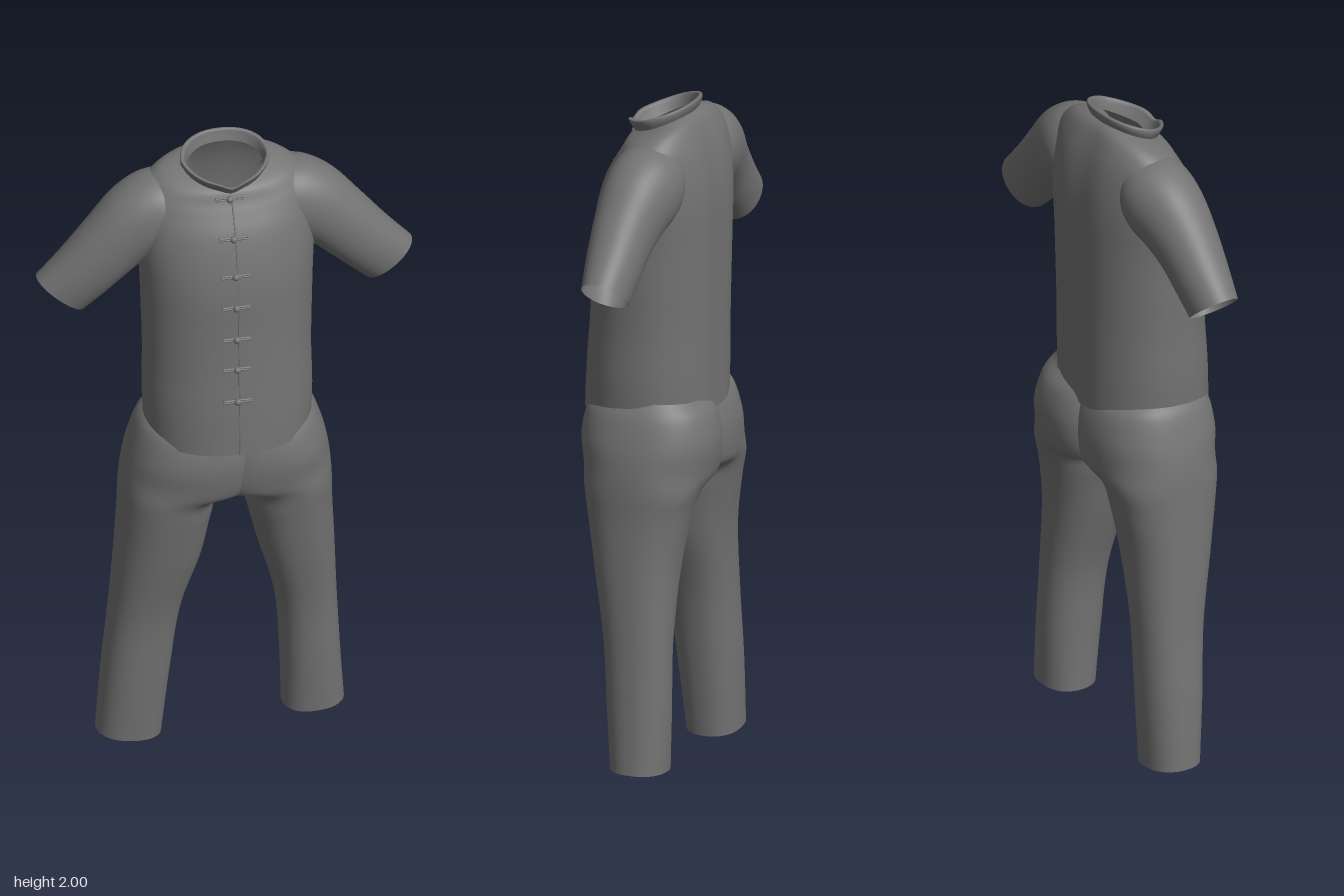
import * as THREE from 'three';

const cloth = new THREE.MeshStandardMaterial({ color: 0x737373, side: THREE.DoubleSide });

function mesh(name, geometry) {
  const m = new THREE.Mesh(geometry, cloth);
  m.name = name;
  return m;
}

// Smooth blend through a list of equal-length rows, t from 0 to 1
function blend(rows, t) {
  const last = rows.length - 1;
  const i = Math.min(Math.floor(t * last), last - 1);
  const f = t * last - i;
  const [a, b, c, d] = [i - 1, i, i + 1, i + 2].map(k => rows[Math.min(Math.max(k, 0), last)]);
  return b.map((v, k) => v + 0.5 * f * (c[k] - a[k]
    + f * (2 * a[k] - 5 * v + 4 * c[k] - d[k] + f * (3 * (v - c[k]) + d[k] - a[k]))));
}

// Open cloth tube. Each row is a ring: outer x, y, inner x, y, front z, back z, forward tilt.
// power sets how square the rings are; warp may adjust each point.
function loft(name, rows, { power = 2, sides = 48, steps = 36, warp } = {}) {
  const pos = [], index = [], p = new THREE.Vector3();
  const round = v => Math.sign(v) * Math.abs(v) ** (2 / power);
  for (let i = 0; i <= steps; i++) {
    const [ax, ay, bx, by, zf, zb, tilt] = blend(rows, i / steps);
    for (let j = 0; j < sides; j++) {
      const a = j / sides * Math.PI * 2, c = round(Math.cos(a)), s = round(Math.sin(a));
      p.set((ax + bx + (ax - bx) * c) / 2, (ay + by + (ay - by) * c) / 2 - tilt * s,
        (zf + zb + (zf - zb) * s) / 2);
      if (warp) warp(p, s);
      pos.push(p.x, p.y, p.z);
      if (i < steps) {
        const k = i * sides, n = (j + 1) % sides;
        index.push(k + j, k + sides + j, k + n, k + n, k + sides + j, k + sides + n);
      }
    }
  }
  const g = new THREE.BufferGeometry();
  g.setAttribute('position', new THREE.Float32BufferAttribute(pos, 3));
  g.setIndex(index);
  g.computeVertexNormals();
  return mesh(name, g);
}

// Ring that is level and symmetric about x = 0
const level = (x, y, zf, zb, tilt = 0) => [x, y, -x, y, zf, zb, tilt];

function createShirt() {
  const shirt = new THREE.Group();
  shirt.name = 'shirt';

  // Body with a soft hollow along the spine
  shirt.add(loft('shirtBody', [
    level(0.24, 1.08, 0.208, -0.182), level(0.245, 1.2, 0.202, -0.183),
    level(0.243, 1.34, 0.192, -0.184), level(0.246, 1.47, 0.185, -0.186),
    level(0.25, 1.6, 0.18, -0.188), level(0.256, 1.7, 0.163, -0.188),
    level(0.256, 1.78, 0.138, -0.182), level(0.25, 1.845, 0.108, -0.168, 0.01),
    level(0.232, 1.888, 0.089, -0.15, 0.022), level(0.187, 1.924, 0.075, -0.128, 0.03),
    level(0.115, 1.94, 0.063, -0.1, 0.034),
  ], {
    power: 2.15, sides: 64, steps: 60,
    warp: (p, s) => { if (s < 0) p.z += 0.01 * Math.exp(-((p.x / 0.06) ** 2)); },
  }));

  // Short sleeves, from cuff to well inside the shoulder
  for (const side of [1, -1]) {
    const sleeve = loft(side > 0 ? 'leftSleeve' : 'rightSleeve', [
      [0.547, 1.605, 0.41, 1.495, 0.035, -0.1, 0],
      [0.475, 1.685, 0.355, 1.545, 0.05, -0.108, 0],
      [0.4, 1.775, 0.298, 1.597, 0.06, -0.118, 0],
      [0.325, 1.858, 0.245, 1.64, 0.066, -0.136, 0],
      [0.25, 1.904, 0.2, 1.665, 0.07, -0.15, 0],
      [0.18, 1.914, 0.165, 1.69, 0.066, -0.148, 0],
      [0.12, 1.9, 0.12, 1.72, 0.03, -0.12, 0],
    ], { power: 2.1, steps: 42 });
    sleeve.scale.x = side;
    shirt.add(sleeve);
  }

  // Standing collar: up the outside, over the rim and down the inside,
  // narrowing to a small dip at the front
  shirt.add(loft('collar', [
    level(0.12, 1.932, 0.068, -0.1, 0.034), level(0.13, 1.952, 0.082, -0.108, 0.034),
    level(0.13, 1.966, 0.091, -0.109, 0.034), level(0.12, 1.966, 0.081, -0.1, 0.034),
    level(0.114, 1.952, 0.073, -0.096, 0.034), level(0.11, 1.932, 0.06, -0.09, 0.034),
  ], {
    power: 2.2, steps: 20,
    warp: (p, s) => {
      if (s < 0) return;
      p.x *= 1 - 0.22 * s;
      p.y -= 0.014 * Math.exp(-((p.x / 0.025) ** 2));
    },
  }));

  // Front seam and knotted fasteners
  const front = [[1.88, 0.08], [1.78, 0.138], [1.67, 0.169], [1.57, 0.181],
    [1.465, 0.186], [1.365, 0.191], [1.26, 0.198]];
  const seam = [[1.9, 0.066], ...front, [1.08, 0.208]];
  const seamPath = new THREE.CatmullRomCurve3(seam.map(([y, z]) => new THREE.Vector3(0, y, z)));
  shirt.add(mesh('frontSeam', new THREE.TubeGeometry(seamPath, 40, 0.002, 6)));

  const knotShape = new THREE.SphereGeometry(0.0105, 12, 8);
  const loopShape = new THREE.CapsuleGeometry(0.0032, 0.036, 4, 8).rotateZ(Math.PI / 2);
  for (const [y, z] of front) {
    const fastener = new THREE.Group();
    fastener.name = 'fastener';
    fastener.position.set(-0.006, y, z + 0.001);
    const knot = mesh('knot', knotShape);
    knot.position.z = 0.004;
    fastener.add(knot);
    for (const x of [-0.021, 0.021]) for (const dy of [-0.003, 0.003]) {
      const loop = mesh('cordLoop', loopShape);
      loop.position.set(x, dy, 0);
      fastener.add(loop);
    }
    shirt.add(fastener);
  }
  return shirt;
}

function createTrousers() {
  const trousers = new THREE.Group();
  trousers.name = 'trousers';

  // Legs run from hem to waist and overlap across the middle to form the hips
  trousers.add(loft('leftLeg', [
    [0.35, 0.055, 0.17, 0.045, 0.035, -0.13, 0],
    [0.338, 0.22, 0.165, 0.22, 0.05, -0.132, 0],
    [0.325, 0.43, 0.148, 0.43, 0.068, -0.13, 0],
    [0.314, 0.64, 0.092, 0.64, 0.108, -0.138, 0],
    [0.306, 0.79, 0.055, 0.79, 0.137, -0.162, 0],
    [0.304, 0.88, 0.03, 0.865, 0.154, -0.185, 0],
    [0.298, 0.95, -0.08, 0.895, 0.172, -0.204, 0],
    [0.285, 1.02, -0.08, 1.0, 0.184, -0.214, 0],
    [0.258, 1.1, -0.06, 1.08, 0.17, -0.198, 0],
    [0.23, 1.145, -0.05, 1.12, 0.13, -0.165, 0],
  ], { power: 2.3, steps: 63 }));

  trousers.add(loft('rightLeg', [
    [-0.182, 0.003, -0.37, 0.02, 0.03, -0.13, 0],
    [-0.16, 0.22, -0.357, 0.22, 0.05, -0.132, 0],
    [-0.13, 0.45, -0.338, 0.43, 0.07, -0.13, 0],
    [-0.076, 0.64, -0.324, 0.64, 0.112, -0.136, 0],
    [-0.046, 0.79, -0.314, 0.79, 0.142, -0.158, 0],
    [-0.022, 0.865, -0.309, 0.88, 0.157, -0.176, 0],
    [0.1, 0.895, -0.302, 0.95, 0.172, -0.188, 0],
    [0.13, 1.0, -0.287, 1.02, 0.184, -0.19, 0],
    [0.13, 1.08, -0.26, 1.1, 0.17, -0.172, 0],
    [0.12, 1.12, -0.23, 1.135, 0.13, -0.14, 0],
  ], { power: 2.3, steps: 63 }));
  return trousers;
}

export function createModel() {
  const outfit = new THREE.Group();
  outfit.name = 'outfit';
  outfit.add(createShirt(), createTrousers());
  return outfit;
}
